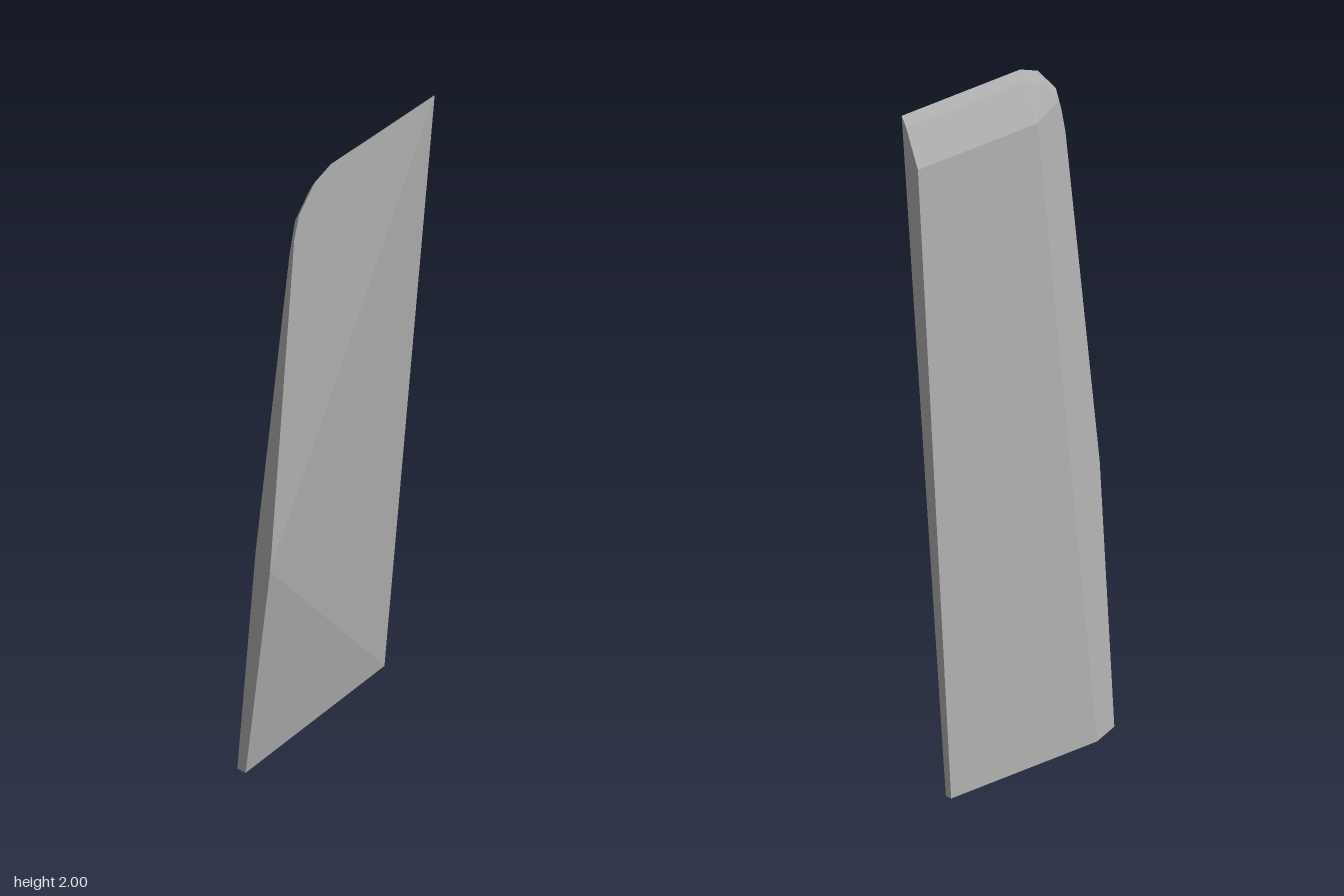
import * as THREE from 'three';

// Fan-triangulates convex polygons into flat-faced geometry
function facetGeometry(polygons) {
  const pos = [];
  for (const p of polygons) {
    for (let i = 1; i < p.length - 1; i++) pos.push(...p[0], ...p[i], ...p[i + 1]);
  }
  const g = new THREE.BufferGeometry();
  g.setAttribute('position', new THREE.Float32BufferAttribute(pos, 3));
  g.computeVertexNormals();
  return g;
}

export function createModel() {
  const grey = new THREE.MeshStandardMaterial({ color: 0xb0b0b0, flatShading: true });
  grey.name = 'plain grey';

  // Front rim, from bottom outer corner up and round to the bottom inner corner
  const f = [
    [-0.285, 0, -0.035], [-0.34, 0.77, 0.102], [-0.24, 1.83, 0.102], [-0.22, 1.9, 0.102],
    [-0.155, 1.975, 0.102], [-0.09, 2, 0.102], [0.34, 2, 0.102], [0.34, 0, -0.08],
  ];
  // Rear rim, matching the front rim point by point
  const b = [
    [-0.285, 0, -0.065], [-0.305, 0.77, 0.018], [-0.238, 1.77, 0.083], [-0.215, 1.87, 0.083],
    [-0.152, 1.943, 0.083], [-0.085, 1.97, 0.083], [0.34, 1.97, 0.083], [0.34, 0, -0.102],
  ];
  // Corners of the raised back plane
  const c = [[-0.19, 0, -0.102], [-0.095, 1.86, 0.035], [0.34, 1.86, 0.035]];

  const rim = f.map((p, i) => {
    const j = (i + 1) % f.length;
    return [p, f[j], b[j], b[i]];
  });

  const parts = {
    frontFace: [
      [f[6], f[5], f[4], f[3], f[2], f[1]],
      [f[1], f[7], f[6]],
      [f[1], f[0], f[7]],
    ],
    edgeRim: [...rim, [b[6], b[7], c[2]], [b[7], b[0], c[0]]],
    backPlane: [[c[0], c[1], c[2], b[7]]],
    backBevels: [
      [c[0], b[0], b[1], b[2], b[3], c[1]],
      [c[1], b[3], b[4], b[5]],
      [c[1], b[5], b[6], c[2]],
    ],
  };

  const group = new THREE.Group();
  group.name = 'bevelledPanel';
  for (const [name, polygons] of Object.entries(parts)) {
    const mesh = new THREE.Mesh(facetGeometry(polygons), grey);
    mesh.name = name;
    group.add(mesh);
  }
  return group;
}
